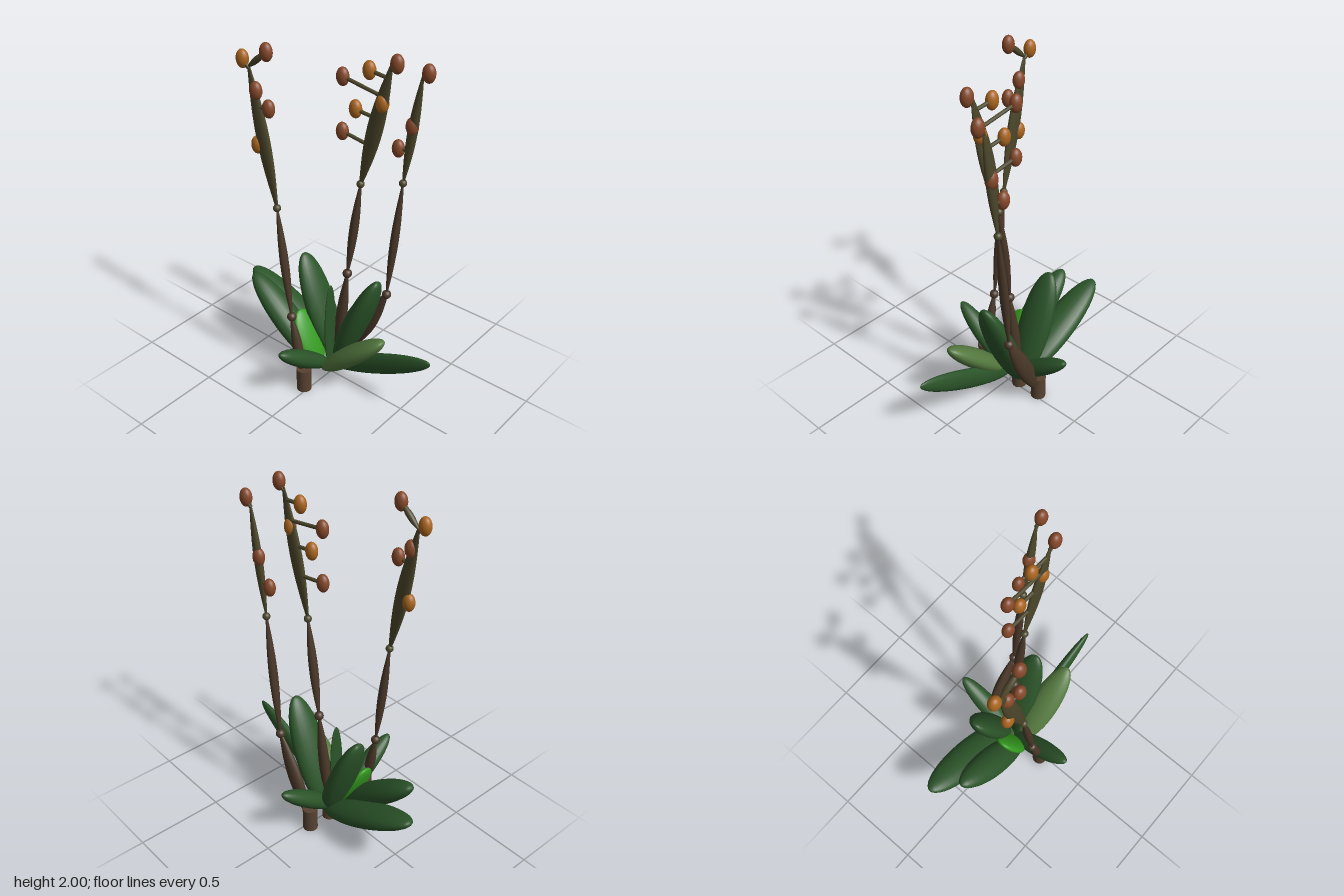
import * as THREE from 'three';

const mat = (color) => new THREE.MeshStandardMaterial({ color });
const DARK = mat(0x2b5429), LIGHT = mat(0x557a40), BRIGHT = mat(0x359a20);
const BARK = mat(0x574231), STEM = mat(0x4a3829), OLIVE = mat(0x4c472b);
const BROWN = mat(0x85482a), ORANGE = mat(0xa9651f);

// unit spindle along y with slightly blunt ends, used for stem segments
const spindle = new THREE.LatheGeometry(
  [new THREE.Vector2(0, -0.5), ...Array.from({ length: 13 }, (_, i) =>
    new THREE.Vector2(0.2 + 0.8 * Math.sin(Math.PI * i / 12), i / 12 - 0.5)), new THREE.Vector2(0, 0.5)], 16);
const ball = new THREE.SphereGeometry(1, 20, 14);
const leafBody = new THREE.SphereGeometry(1, 20, 20).scale(1, 0.5, 1);
const rod = new THREE.CylinderGeometry(1, 1, 1, 10);

const V = (p) => new THREE.Vector3(...p);

// stretch a unit-long shape from a to b; halfZ is the half size along the hint axis
function stretch(name, geo, material, a, b, halfX, halfZ, hint = [0, 0, 1]) {
  const d = V(b).sub(V(a)), len = d.length();
  d.normalize();
  const h = V(hint), side = new THREE.Vector3().crossVectors(d, h);
  const mesh = new THREE.Mesh(geo, material);
  mesh.name = name;
  mesh.quaternion.setFromRotationMatrix(new THREE.Matrix4().makeBasis(side, d, h));
  mesh.position.copy(V(a)).lerp(V(b), 0.5);
  mesh.scale.set(halfX, len, halfZ);
  return mesh;
}

function blob(name, material, p, r) {
  const mesh = new THREE.Mesh(ball, material);
  mesh.name = name;
  mesh.position.set(...p);
  mesh.scale.set(...r);
  return mesh;
}

// path: base, two joints, tip (x, y); widths: half width and half depth per segment
// buds: x, y, material, and an optional twig foot x, y, radius
function stalk(name, z, path, widths, buds) {
  const g = new THREE.Group();
  g.name = name;
  const foot = new THREE.Mesh(new THREE.CylinderGeometry(0.042, 0.042, 0.14, 20), BARK);
  foot.name = 'stalkFoot';
  foot.position.set(-0.023, 0.07, z);
  g.add(foot);
  widths.forEach(([w, d], i) => {
    const a = [...path[i], z], b = [...path[i + 1], z];
    g.add(stretch('stemSegment', spindle, i === 2 ? OLIVE : STEM, a, b, w, d));
    if (i < 2) g.add(blob('stemJoint', i ? OLIVE : STEM, b, i ? [0.021, 0.021, 0.021] : [0.026, 0.026, 0.026]));
  });
  for (const [x, y, m, tx, ty, r = 0.01] of buds) {
    g.add(blob('bud', m, [x, y, z], [0.035, 0.049, 0.03]));
    if (tx !== undefined)
      g.add(stretch('twig', r > 0.01 ? spindle : rod, OLIVE, [tx, ty, z], [x, y, z], r, r));
  }
  return g;
}

export function createModel() {
  const model = new THREE.Group();
  model.name = 'plant';

  // three flowering stalks
  model.add(stalk('frontStalk', 0.21,
    [[-0.025, 0.06], [-0.105, 0.46], [-0.188, 1.115], [-0.345, 1.85]],
    [[0.03, 0.028], [0.023, 0.025], [0.044, 0.019]],
    [[-0.386, 1.88, ORANGE, -0.345, 1.84], [-0.225, 1.95, BROWN, -0.35, 1.845, 0.017],
      [-0.304, 1.733, BROWN], [-0.222, 1.66, BROWN, -0.3, 1.65], [-0.307, 1.442, ORANGE, -0.26, 1.43]]));
  model.add(stalk('middleStalk', -0.065,
    [[-0.02, 0.05], [0.06, 0.675], [0.14, 1.257], [0.307, 1.93]],
    [[0.034, 0.028], [0.024, 0.026], [0.046, 0.019]],
    [[0.18, 1.88, ORANGE, 0.28, 1.87], [0.34, 1.95, BROWN, 0.305, 1.91],
      [0.018, 1.807, BROWN, 0.25, 1.77], [0.262, 1.733, ORANGE],
      [0.1, 1.66, ORANGE, 0.22, 1.645], [0.018, 1.516, BROWN, 0.19, 1.49]]));
  model.add(stalk('backStalk', -0.21,
    [[-0.02, 0.04], [0.223, 0.53], [0.3, 1.257], [0.387, 1.86]],
    [[0.052, 0.031], [0.022, 0.026], [0.028, 0.019]],
    [[0.42, 1.88, BROWN, 0.385, 1.84], [0.34, 1.585, BROWN], [0.262, 1.442, BROWN, 0.32, 1.45]]));

  // leaf rosette: base, tip, half width, half depth, material
  const leaves = new THREE.Group();
  leaves.name = 'leaves';
  const list = [
    [[0, 0.06, 0], [0.67, 0.405, 0], 0.062, 0.032, DARK],
    [[-0.01, 0.06, -0.075], [-0.67, 0.4, -0.075], 0.062, 0.103, DARK],
    [[-0.02, 0.06, 0.057], [-0.54, 0.48, 0.057], 0.068, 0.09, DARK],
    [[-0.02, 0.06, -0.073], [-0.265, 0.67, -0.073], 0.058, 0.104, DARK],
    [[-0.01, 0.05, -0.07], [0.262, 0.7, -0.07], 0.062, 0.103, DARK],
    [[-0.01, 0.06, 0.057], [0.405, 0.445, 0.057], 0.056, 0.088, LIGHT],
    [[-0.04, 0.06, 0.055], [-0.19, 0.38, 0.055], 0.035, 0.09, BRIGHT],
    [[-0.02, 0.06, 0], [-0.46, 0.228, 0], 0.045, 0.05, LIGHT],
    [[-0.012, 0.05, 0], [-0.006, 0.6, 0], 0.012, 0.045, DARK],
  ];
  for (const [a, b, w, d, m] of list) leaves.add(stretch('leaf', leafBody, m, a, b, w, d));
  for (const s of [1, -1])
    leaves.add(stretch('leaf', leafBody, DARK, [-0.022, 0.05, 0], [-0.022, 0.35, s * 0.4], 0.05, 0.059, [1, 0, 0]));
  model.add(leaves);
  return model;
}
